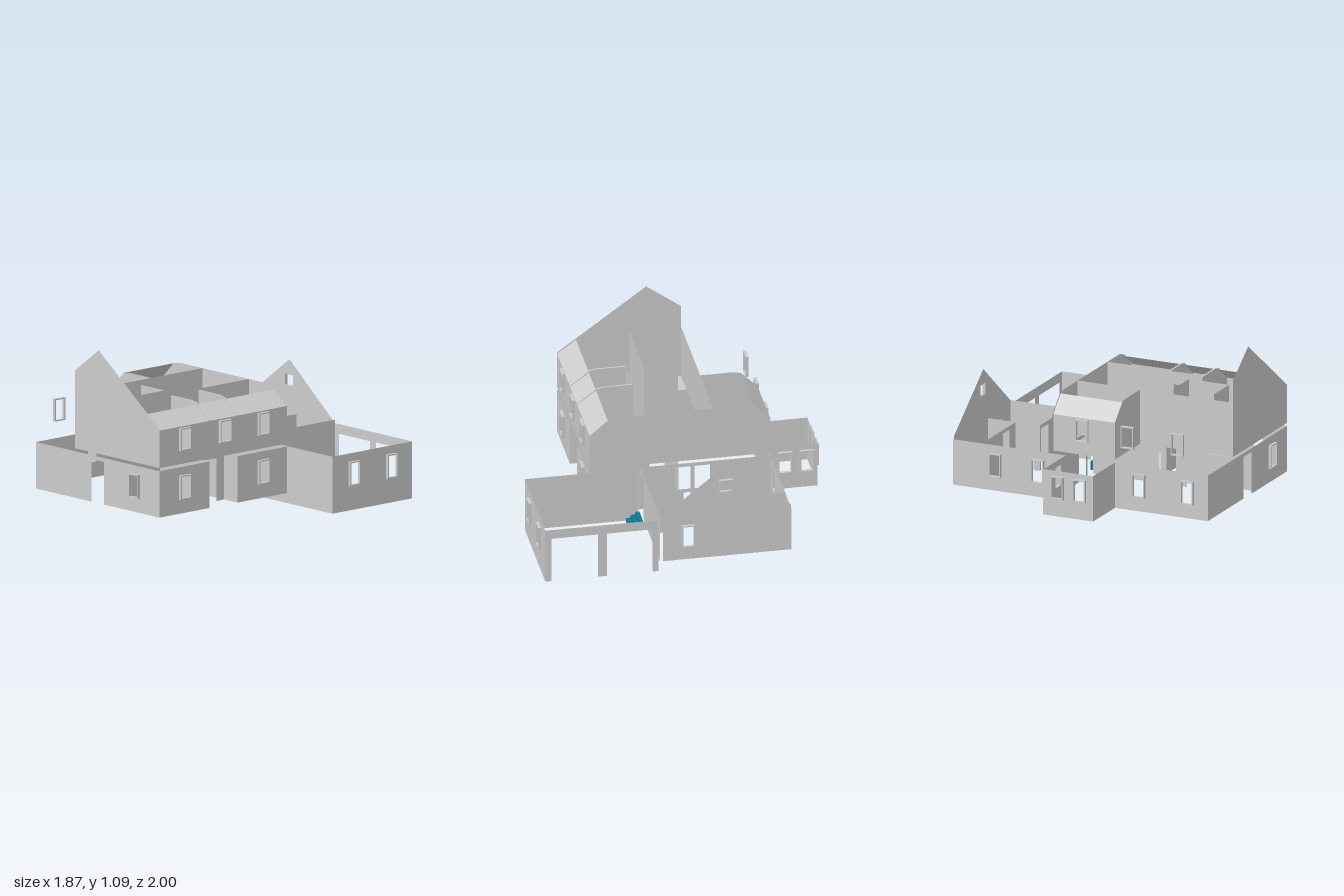
import * as THREE from 'three';

export function createModel() {
  const model = new THREE.Group();
  const wallMat = new THREE.MeshStandardMaterial({ color: 0xcccccc, side: THREE.DoubleSide, flatShading: true });
  const stepMat = new THREE.MeshStandardMaterial({ color: 0x117799 });

  const add = (name, geo, mat = wallMat) => {
    const mesh = new THREE.Mesh(geo, mat);
    mesh.name = name;
    model.add(mesh);
    return mesh;
  };
  const toShape = pts => new THREE.Shape(pts.map(p => new THREE.Vector2(...p)));
  const rect = (a, b, y0, y1) => [[a, y0], [b, y0], [b, y1], [a, y1]];

  // Places a drawing of (along, up) in a plane across the z or x axis
  const place = (geo, axis, at) => {
    if (axis === 'x') geo.rotateY(-Math.PI / 2).translate(at, 0, 0);
    else geo.translate(0, 0, at);
    return geo;
  };

  // Window frame: a thin ring standing just outside its wall
  const frame = (axis, at, [a, b, y0, y1], out = 1) => {
    const t = 0.008, depth = 0.02;
    const ring = toShape(rect(a, b, y0, y1));
    ring.holes.push(toShape(rect(a + t, b - t, y0 + t, y1 - t)));
    const geo = new THREE.ExtrudeGeometry(ring, { depth, bevelEnabled: false });
    geo.translate(0, 0, -depth / 2);
    add('windowFrame', place(geo, axis, at + out * 0.01));
  };

  // Sheet wall with any outline, with framed windows cut out
  const panel = (name, axis, at, outline, windows = [], out = 1) => {
    const shape = toShape(outline);
    for (const w of windows) {
      shape.holes.push(toShape(rect(...w)));
      frame(axis, at, w, out);
    }
    add(name, place(new THREE.ShapeGeometry(shape), axis, at));
  };

  // Straight wall; doors are [from, to, top] notches, listed in order
  const wall = (name, axis, at, a, b, y0, y1, { windows = [], doors = [], out = 1 } = {}) => {
    const pts = [[a, y0]];
    for (const [d0, d1, top] of doors) pts.push([d0, y0], [d0, top], [d1, top], [d1, y0]);
    pts.push([b, y0], [b, y1], [a, y1]);
    panel(name, axis, at, pts, windows, out);
  };

  // Four-cornered sheet in space
  const quad = (name, ...corners) => {
    const geo = new THREE.BufferGeometry();
    geo.setAttribute('position', new THREE.Float32BufferAttribute(corners.flat(), 3));
    geo.setIndex([0, 1, 2, 0, 2, 3]);
    geo.computeVertexNormals();
    add(name, geo);
  };

  const F = 0.07, C = 0.38;   // ground floor and its wall top
  const U = 0.4, T = 0.77;    // upper floor and its wall top
  const low = (a, b) => [a, b, 0.165, 0.325];
  const high = (a, b) => [a, b, 0.49, 0.64];

  // Ground floor, outer walls
  wall('frontWallWest', 'z', 0.55, -0.92, -0.48, F, C, { windows: [low(-0.75, -0.655)] });
  wall('frontWallEast', 'z', 0.55, -0.235, 0.2, F, C, { windows: [low(-0.06, 0.035)] });
  wall('westWall', 'x', -0.92, -0.65, 0.55, F, C,
    { windows: [low(0.27, 0.36)], doors: [[-0.11, 0.01, 0.355]], out: -1 });
  wall('backWallWest', 'z', -0.65, -0.92, -0.25, F, C,
    { windows: [low(-0.82, -0.73), low(-0.47, -0.38)], out: -1 });
  wall('backWallEast', 'z', -0.65, 0.11, 0.92, F, C,
    { windows: [low(0.26, 0.35), low(0.57, 0.655)], out: -1 });

  // Back extension
  wall('extensionBack', 'z', -0.98, -0.25, 0.11, F, C,
    { windows: [[-0.2, -0.11, 0.19, 0.345], [-0.04, 0.05, 0.19, 0.345]], out: -1 });
  wall('extensionWest', 'x', -0.25, -0.98, -0.65, F, C);
  wall('extensionEast', 'x', 0.105, -0.98, -0.65, F, C,
    { windows: [[-0.955, -0.86, 0.19, 0.345], [-0.81, -0.715, 0.19, 0.345]] });

  // East gable
  panel('eastGable', 'x', 0.91,
    [[-0.65, F], [0.2, F], [0.2, 0.405], [-0.21, 0.735], [-0.65, 0.405]],
    [low(-0.01, 0.075), [-0.26, -0.17, 0.55, 0.64]]);

  // Garage
  wall('garageFront', 'z', 0.98, 0.21, 0.91, 0, C,
    { windows: [low(0.35, 0.44), low(0.68, 0.77)] });
  wall('garageWest', 'x', 0.21, 0.23, 0.98, 0, C);
  wall('garageDoorWall', 'x', 0.91, 0.23, 0.98, 0, C,
    { doors: [[0.27, 0.57, 0.315], [0.63, 0.94, 0.315]] });
  wall('garageBack', 'z', 0.22, 0.21, 0.92, F, U, { doors: [[0.22, 0.34, 0.355]] });

  // Steps from the garage to the house
  for (let i = 0; i < 3; i++) {
    const h = 0.02 * (i + 1);
    const step = add('garageStep', new THREE.BoxGeometry(0.132, h, 0.03), stepMat);
    step.position.set(0.277, h / 2, 0.297 - 0.03 * i);
  }

  // Ground floor, inner walls
  const hallDoor = { doors: [[-0.4, -0.28, 0.355]] };
  wall('porchSideWest', 'x', -0.48, 0.07, 0.55, F, C);
  wall('porchSideEast', 'x', -0.235, 0.07, 0.55, F, C);
  wall('entranceWall', 'z', 0.42, -0.48, -0.235, F, C, { doors: [[-0.42, -0.3, 0.355]] });
  wall('hallWallFront', 'z', 0.07, -0.92, -0.235, F, C, hallDoor);
  wall('hallWallBack', 'z', -0.04, -0.48, 0.2, F, C, hallDoor);
  wall('middleWall', 'x', 0.2, -0.65, 0.55, F, C,
    { doors: [[-0.25, -0.145, 0.355], [-0.12, -0.02, 0.355]] });
  wall('roomWallSouth', 'x', 0.535, -0.14, 0.22, F, C, { doors: [[-0.12, -0.01, 0.355]] });
  wall('roomWallCross', 'z', -0.14, 0.535, 0.91, F, C, { doors: [[0.58, 0.69, 0.355]] });
  wall('roomWallNorth', 'x', 0.71, -0.65, -0.14, F, C, { doors: [[-0.335, -0.23, 0.355]] });

  // Upper floor, outer walls
  wall('upperFront', 'z', 0.55, -0.92, 0.2, U, 0.65,
    { windows: [high(-0.75, -0.655), high(-0.4, -0.3), high(-0.06, 0.035)] });
  quad('frontRoofSlope', [-0.92, 0.65, 0.55], [0.195, 0.65, 0.55], [0.195, 0.74, 0.425], [-0.92, 0.74, 0.425]);
  panel('westGable', 'x', -0.92,
    [[-0.27, U], [0.55, U], [0.55, 0.66], [-0.04, 1.09], [-0.27, 0.92]]);
  panel('upperEast', 'x', 0.2,
    [[-0.65, U], [0.55, U], [0.55, 0.65], [0.44, 0.745], [0.37, T], [-0.48, T], [-0.54, 0.76], [-0.65, 0.65]]);
  wall('upperBack', 'z', -0.27, -0.92, 0.2, U, T);

  // Back dormer
  wall('dormerBack', 'z', -0.65, -0.25, 0.195, U, 0.65, { windows: [high(-0.06, 0.03)], out: -1 });
  quad('dormerSlope', [0.195, 0.65, -0.65], [-0.25, 0.65, -0.65], [-0.25, 0.76, -0.54], [0.195, 0.76, -0.54]);
  panel('dormerWest', 'x', -0.25,
    [[-0.65, U], [-0.27, U], [-0.27, T], [-0.48, T], [-0.54, 0.76], [-0.65, 0.65]]);

  // Free-standing back window frames
  frame('z', -0.65, high(-0.75, -0.66), -1);
  frame('z', -0.65, high(-0.39, -0.3), -1);

  // Upper floor, inner walls with thickness
  for (const x of [-0.48, -0.235]) {
    const shape = toShape([[0.18, U], [0.55, U], [0.55, 0.655], [0.425, 0.75], [0.38, 0.76], [0.18, 0.76]]);
    const geo = new THREE.ExtrudeGeometry(shape, { depth: 0.012, bevelEnabled: false });
    add('upperDivider', place(geo.translate(0, 0, -0.006), 'x', x));
  }
  wall('upperRoomWall', 'z', 0.07, -0.92, -0.44, U, T);
  wall('stairWallWest', 'x', -0.73, -0.16, 0.07, U, T);
  wall('stairWallEast', 'x', -0.44, -0.16, 0.07, U, T);
  wall('upperHallWall', 'z', 0.18, -0.48, 0.2, U, T,
    { doors: [[-0.4, -0.28, 0.68], [-0.15, -0.04, 0.68]] });
  quad('landing', [-0.92, U, 0.07], [-0.73, U, 0.07], [-0.73, U, -0.28], [-0.92, U, -0.28]);

  return model;
}
